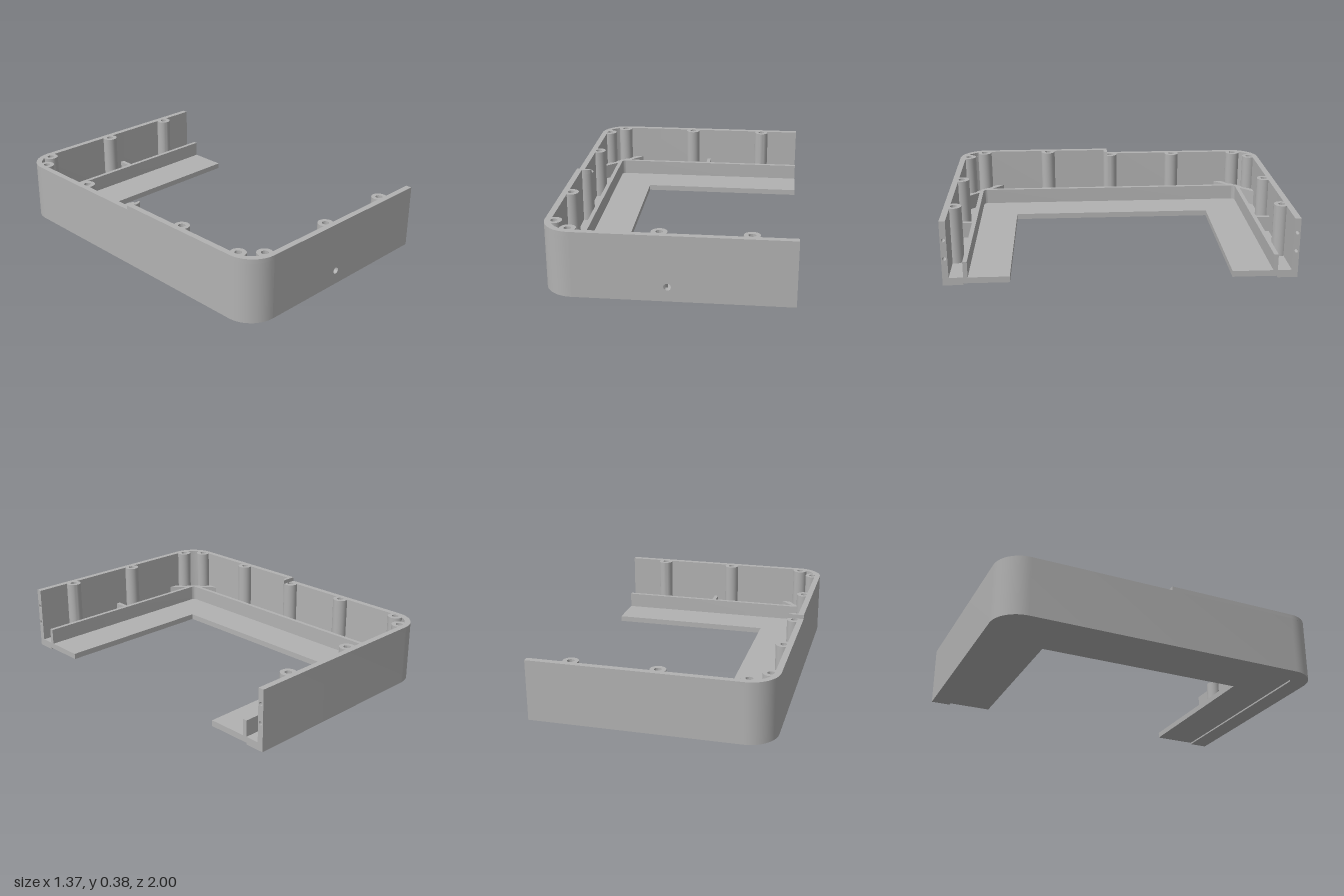
import * as THREE from 'three';
import { toCreasedNormals } from 'three/addons/utils/BufferGeometryUtils.js';

const END = 0.685;        // open ends of both arms
const HIGH = 0.38;        // rim height of the front half
const LOW = 0.355;        // rim height of the back half
const STEP_Z = 0.018;     // where the rim steps down
const FLOOR = 0.045;
const RIB_TOP = 0.14;
const WALL = 0.035;

export function createModel() {
  const group = new THREE.Group();
  const grey = new THREE.MeshStandardMaterial({ color: 0xb2b2b2 });
  grey.name = 'grey plastic';

  const add = (name, geometry) => {
    const mesh = new THREE.Mesh(toCreasedNormals(geometry, 0.5), grey);
    mesh.name = name;
    group.add(mesh);
    return mesh;
  };
  const extrude = (shape, depth) =>
    new THREE.ExtrudeGeometry(shape, { depth, bevelEnabled: false, curveSegments: 14 });

  // Extrude a plan outline, given as (x, -z), from y0 to y1
  const plan = (name, shape, y0, y1) =>
    add(name, extrude(shape, y1 - y0).rotateX(-Math.PI / 2).translate(0, y0, 0));

  const circle = (x, y, r) => new THREE.Path().absarc(x, y, r, 0, Math.PI * 2, true);
  const polygon = (pts) => new THREE.Shape(pts.map(([x, z]) => new THREE.Vector2(x, -z)));

  // U-shaped line with rounded corners, from the front arm round to the back arm
  const uLine = (x, z, r, frontEnd, backEnd) => {
    const pts = [new THREE.Vector2(frontEnd, -z)];
    const n = r > 0 ? 14 : 0;
    for (const s of [1, -1]) {
      for (let i = 0; i <= n; i++) {
        const t = n ? i / n : 0;
        const a = (s > 0 ? t : 1 - t) * Math.PI / 2;
        pts.push(new THREE.Vector2(x + r - r * Math.sin(a), -s * (z - r + r * Math.cos(a))));
      }
    }
    pts.push(new THREE.Vector2(backEnd, z));
    return pts;
  };
  const uBand = ([x1, z1, r1], [x2, z2, r2], frontEnd = END, backEnd = END) =>
    new THREE.Shape([
      ...uLine(x1, z1, r1, frontEnd, backEnd),
      ...uLine(x2, z2, r2, frontEnd, backEnd).reverse(),
    ]);

  // Outer wall: left side, both corners and most of the back arm
  const R = 0.165;
  const cornerX = -END + R;
  const plugX = END - 0.08;
  const outer = [-END, 1, R];
  const inner = [-END + WALL, 1 - WALL, R - WALL];
  plan('outerWall', uBand(outer, inner, cornerX, plugX), 0, LOW);

  // Raised rim on the front half of the left side
  const raised = new THREE.Shape();
  raised.moveTo(cornerX, -1);
  raised.absarc(cornerX, -1 + R, R, -Math.PI / 2, -Math.PI, true);
  raised.lineTo(-END, -STEP_Z);
  raised.lineTo(-END + WALL, -STEP_Z);
  raised.lineTo(-END + WALL, -1 + R);
  raised.absarc(cornerX, -1 + R, R - WALL, Math.PI, Math.PI * 1.5, false);
  plan('raisedRim', raised, LOW, HIGH);

  // Front wall with its round cable hole
  const front = new THREE.Shape();
  front.moveTo(cornerX, 0).lineTo(plugX, 0).lineTo(plugX, HIGH).lineTo(cornerX, HIGH);
  front.holes.push(circle(0, 0.085, 0.02));
  add('frontWall', extrude(front, WALL).translate(0, 0, 1 - WALL));

  // Wall ends with two blind pin holes each
  for (const [side, top] of [[1, HIGH], [-1, LOW]]) {
    const mid = -side * (1 - WALL / 2), h = WALL / 2;
    const end = new THREE.Shape();
    end.moveTo(mid - h, 0).lineTo(mid + h, 0).lineTo(mid + h, top).lineTo(mid - h, top);
    for (const y of [0.16, 0.27]) end.holes.push(circle(mid, y, 0.011));
    add('wallEnd', extrude(end, END - plugX).rotateY(Math.PI / 2).translate(plugX, 0, 0));
  }

  // Channel floor, slightly raised flange and the upright inner rib
  const ribOuter = [-0.575, 0.885, 0.04];
  plan('channelFloor', uBand(inner, ribOuter), 0, FLOOR);
  plan('flange', uBand(ribOuter, [-0.32, 0.627, 0]), 0.01, FLOOR);
  plan('innerRib', uBand(ribOuter, [-0.55, 0.86, 0.025]), FLOOR, RIB_TOP);

  // Screw bosses with open bores
  const boss = (x, z, top) => {
    const shape = new THREE.Shape().absarc(x, -z, 0.045, 0, Math.PI * 2, false);
    shape.holes.push(circle(x, -z, 0.02));
    plan('screwBoss', shape, FLOOR, top);
  };
  for (const z of [-0.848, -0.425, -0.003, 0.42, 0.848]) boss(-0.632, z, z > STEP_Z ? HIGH : LOW);
  for (const x of [-0.535, -0.047, 0.44]) {
    boss(x, 0.945, HIGH);
    boss(x, -0.945, LOW);
  }

  // Raised part of the middle boss
  const half = Math.acos((STEP_Z + 0.003) / 0.045);
  const cap = new THREE.Shape().absarc(-0.632, 0.003, 0.045,
    -Math.PI / 2 - half, -Math.PI / 2 + half, false);
  plan('middleBossCap', cap, LOW, HIGH);

  // Diagonal corner braces and cross ribs in the channel
  for (const s of [1, -1]) {
    const brace = (pts) => {
      const p = pts.map(([x, z]) => [x, s * z]);
      plan('channelBrace', polygon(p), FLOOR, RIB_TOP);
    };
    brace([[-0.65, 0.73], [-0.575, 0.805], [-0.575, 0.855], [-0.65, 0.78]]);
    brace([[-0.415, 0.965], [-0.495, 0.885], [-0.545, 0.885], [-0.465, 0.965]]);
    brace([[0.055, 0.885], [0.08, 0.885], [0.08, 0.965], [0.055, 0.965]]);
  }

  return group;
}
